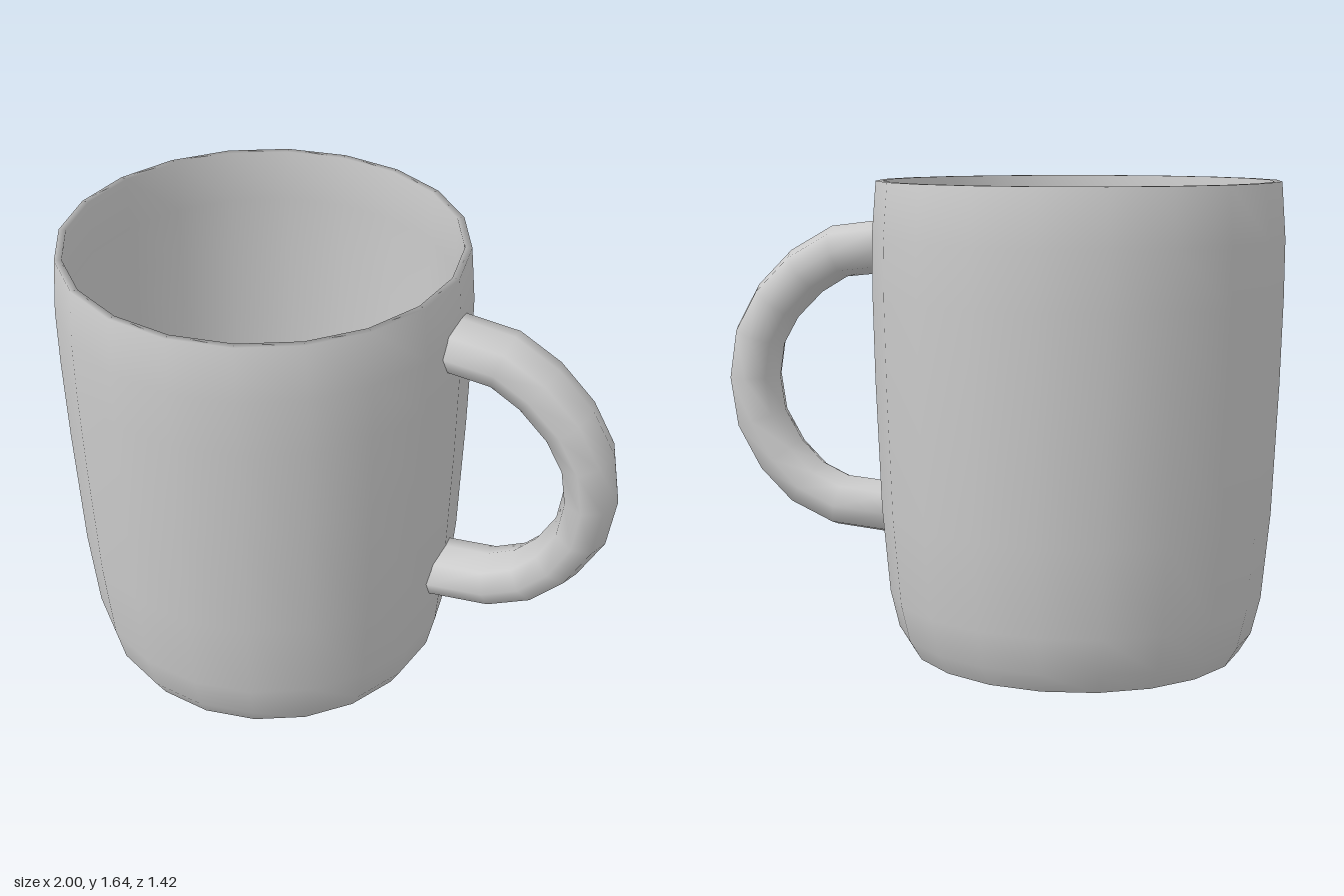
import * as THREE from 'three';

const SIDES = 20;
const CUP_X = -0.29;

// Lofts an oval ring with eight corners along a path in the xy plane.
function loftHandle(path, halfDepth, halfWidth, sides = 8) {
  const positions = [];
  const index = [];
  path.forEach(([x, y], i) => {
    const [ax, ay] = path[Math.max(i - 1, 0)];
    const [bx, by] = path[Math.min(i + 1, path.length - 1)];
    const t = new THREE.Vector2(bx - ax, by - ay).normalize();
    for (let j = 0; j < sides; j++) {
      const a = (j / sides) * Math.PI * 2;
      const out = Math.cos(a) * halfDepth;
      positions.push(x - t.y * out, y + t.x * out, Math.sin(a) * halfWidth);
      if (i < path.length - 1) {
        const p = i * sides + j;
        const q = i * sides + ((j + 1) % sides);
        index.push(p, q, p + sides, q, q + sides, p + sides);
      }
    }
  });
  const geometry = new THREE.BufferGeometry();
  geometry.setAttribute('position', new THREE.Float32BufferAttribute(positions, 3));
  geometry.setIndex(index);
  geometry.computeVertexNormals();
  return geometry;
}

export function createModel() {
  const group = new THREE.Group();
  group.name = 'mug';
  const material = new THREE.MeshStandardMaterial({ color: 0xcccccc });

  const add = (name, geometry, x = 0) => {
    const mesh = new THREE.Mesh(geometry, material);
    mesh.name = name;
    mesh.position.x = x;
    group.add(mesh);
  };

  // Cup: outer wall upwards, over the rim, then the inner wall down to the floor
  const profile = [
    [0.585, 0], [0.627, 0.07], [0.658, 0.2], [0.685, 0.5], [0.703, 0.95],
    [0.71, 1.25], [0.71, 1.45], [0.695, 1.64],
    [0.67, 1.64], [0.672, 1.45], [0.67, 1.25], [0.663, 0.95], [0.645, 0.5],
    [0.618, 0.22], [0.585, 0.11], [0.53, 0.06], [0, 0.05],
  ].map(([r, y]) => new THREE.Vector2(r, y));
  add('cup', new THREE.LatheGeometry(profile, SIDES), CUP_X);

  // Flat underside
  add('base', new THREE.CircleGeometry(0.585, SIDES).rotateX(Math.PI / 2), CUP_X);

  // Handle, with both ends buried in the wall
  const path = [
    [0.39, 1.405], [0.575, 1.383], [0.7, 1.31], [0.81, 1.2], [0.88, 1.075],
    [0.903, 0.925], [0.88, 0.77], [0.805, 0.635], [0.705, 0.535],
    [0.575, 0.475], [0.365, 0.455],
  ];
  add('handle', loftHandle(path, 0.094, 0.12));

  return group;
}
